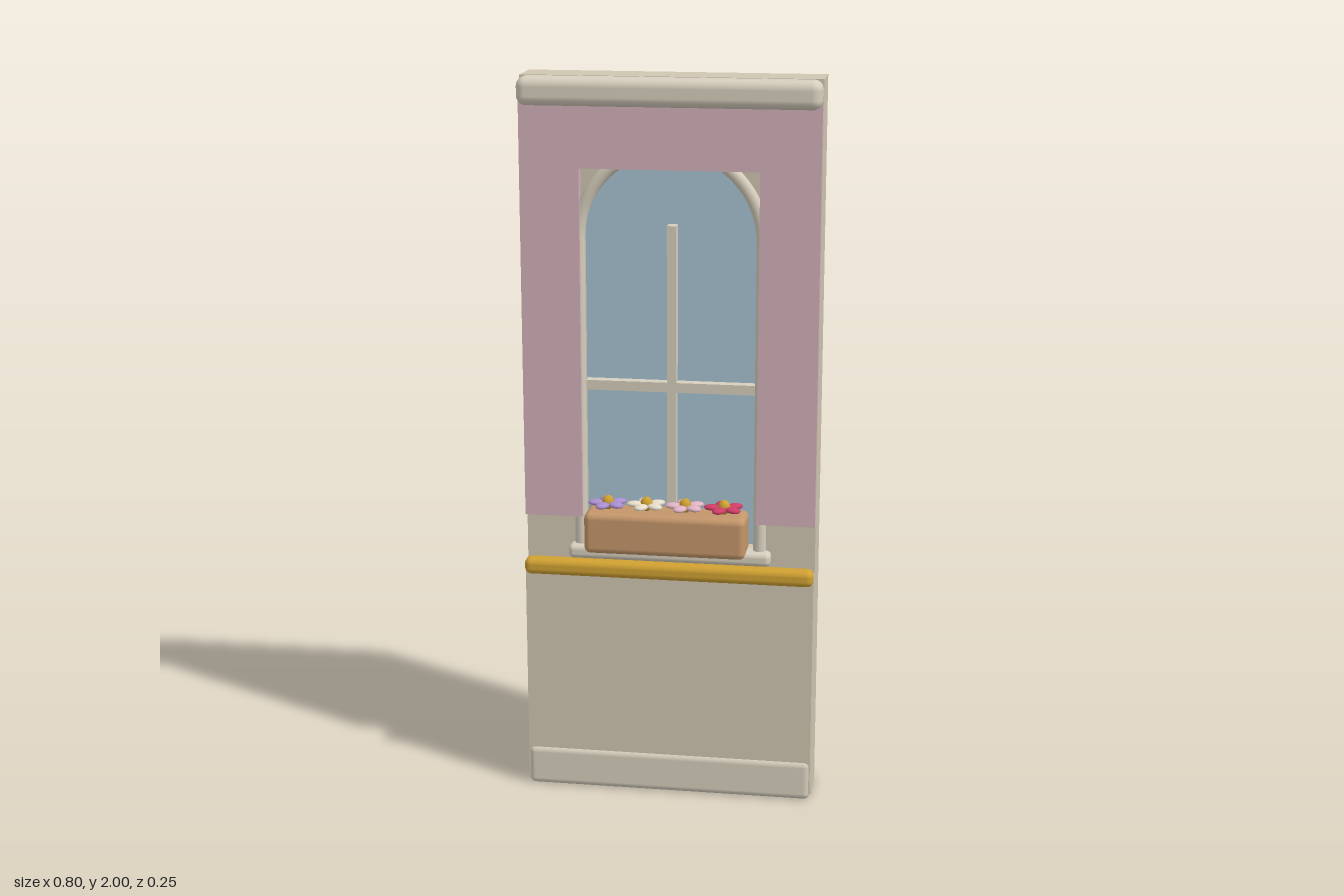
import * as THREE from 'three';
import { RoundedBoxGeometry } from 'three/addons/geometries/RoundedBoxGeometry.js';

const mat = (name, color) => {
  const m = new THREE.MeshStandardMaterial({ color });
  m.name = name;
  return m;
};

export function createModel() {
  const stone = mat('stone', 0xcfc6b1);
  const trim = mat('trim', 0xd6cebd);
  const pink = mat('pink plaster', 0xd2b0b9);
  const glass = mat('glass', 0xa6c2d1);
  const gold = mat('gold', 0xd0a132);
  const wood = mat('wood', 0xc4966a);
  const petalMats = [
    mat('purple petals', 0xab8fd0), mat('cream petals', 0xe6dcc8),
    mat('blush petals', 0xe0b4c4), mat('crimson petals', 0xcf3d66),
  ];

  const model = new THREE.Group();
  model.name = 'windowWall';

  const add = (name, geometry, material, x = 0, y = 0, z = 0, parent = model) => {
    const mesh = new THREE.Mesh(geometry, material);
    mesh.name = name;
    mesh.position.set(x, y, z);
    parent.add(mesh);
    return mesh;
  };
  // boxes given by their low and high corners
  const box = (name, material, x0, x1, y0, y1, z0, z1, radius = 0) => add(name,
    radius ? new RoundedBoxGeometry(x1 - x0, y1 - y0, z1 - z0, 4, radius)
      : new THREE.BoxGeometry(x1 - x0, y1 - y0, z1 - z0),
    material, (x0 + x1) / 2, (y0 + y1) / 2, (z0 + z1) / 2);
  const polygon = (pts) => new THREE.Shape(pts.map(([x, y]) => new THREE.Vector2(x, y)));
  const rect = (w, y0, y1) => polygon([[-w, y0], [w, y0], [w, y1], [-w, y1]]);
  const arch = (w, y0, spring) => {
    const s = new THREE.Shape();
    s.moveTo(-w, y0);
    s.lineTo(w, y0);
    s.lineTo(w, spring);
    s.absarc(0, spring, w, 0, Math.PI, false);
    s.closePath();
    return s;
  };
  const slab = (name, material, shape, z0, z1, hole) => {
    if (hole) shape.holes.push(hole);
    return add(name, new THREE.ExtrudeGeometry(shape,
      { depth: z1 - z0, bevelEnabled: false, curveSegments: 24 }), material, 0, 0, z0);
  };

  // wall: rear layer with a square opening, front layer with an arched one
  const spring = 1.57;
  slab('rearWall', stone, rect(0.4, 0, 2), -0.125, -0.08, rect(0.238, 0.717, 1.55));
  slab('frontWall', stone, rect(0.4, 0, 2), -0.08, 0, arch(0.238, 0.717, spring));
  box('lowerPanel', stone, -0.4, 0.4, 0.02, 0.66, -0.01, 0.035);
  slab('upperPanel', pink, polygon([[-0.4, 0.8], [-0.24, 0.8], [-0.24, 1.76], [0.24, 1.76],
    [0.24, 0.8], [0.4, 0.8], [0.4, 1.95], [-0.4, 1.95]]), 0, 0.025);

  // horizontal mouldings
  box('cornice', trim, -0.4, 0.4, 1.925, 2, -0.015, 0.065, 0.025);
  box('plinth', trim, -0.4, 0.4, 0, 0.115, -0.02, 0.042, 0.018);
  box('goldRail', gold, -0.4, 0.4, 0.635, 0.682, 0.012, 0.06, 0.018);
  box('sill', trim, -0.28, 0.28, 0.68, 0.72, -0.03, 0.035, 0.015);

  // window pane and glazing bars
  slab('pane', glass, arch(0.2379, 0.7171, spring), -0.0795, -0.055);
  box('verticalBar', trim, -0.0125, 0.0125, 0.717, 1.605, -0.056, -0.022);
  box('horizontalBar', trim, -0.235, 0.235, 1.149, 1.176, -0.056, -0.025);

  // arched surround
  const r = 0.0175, cx = 0.2475;
  for (const s of [-1, 1]) {
    add(s > 0 ? 'leftColumn' : 'rightColumn',
      new THREE.CylinderGeometry(r, r, spring - 0.7, 16), trim, s * cx, (spring + 0.7) / 2, 0);
  }
  add('archMoulding', new THREE.TorusGeometry(cx, r, 12, 40, Math.PI), trim, 0, spring, 0);

  // planter and its four flowers
  box('planter', wood, -0.22, 0.22, 0.725, 0.84, 0.01, 0.12, 0.018);
  const petal = new THREE.SphereGeometry(1, 10, 6).scale(0.024, 0.008, 0.018);
  const centre = new THREE.SphereGeometry(1, 10, 8).scale(0.017, 0.02, 0.017);
  petalMats.forEach((material, i) => {
    const flower = new THREE.Group();
    flower.name = 'flower' + (i + 1);
    flower.position.set(-0.16 + i * 0.106, 0.858, 0.069);
    for (let k = 0; k < 5; k++) {
      const a = (37 + 72 * k) * Math.PI / 180;
      const p = add('petal', petal, material, Math.cos(a) * 0.032, 0, Math.sin(a) * 0.032, flower);
      p.rotation.y = -a;
    }
    add('flowerCentre', centre, gold, 0, 0.002, 0, flower);
    model.add(flower);
  });

  return model;
}
